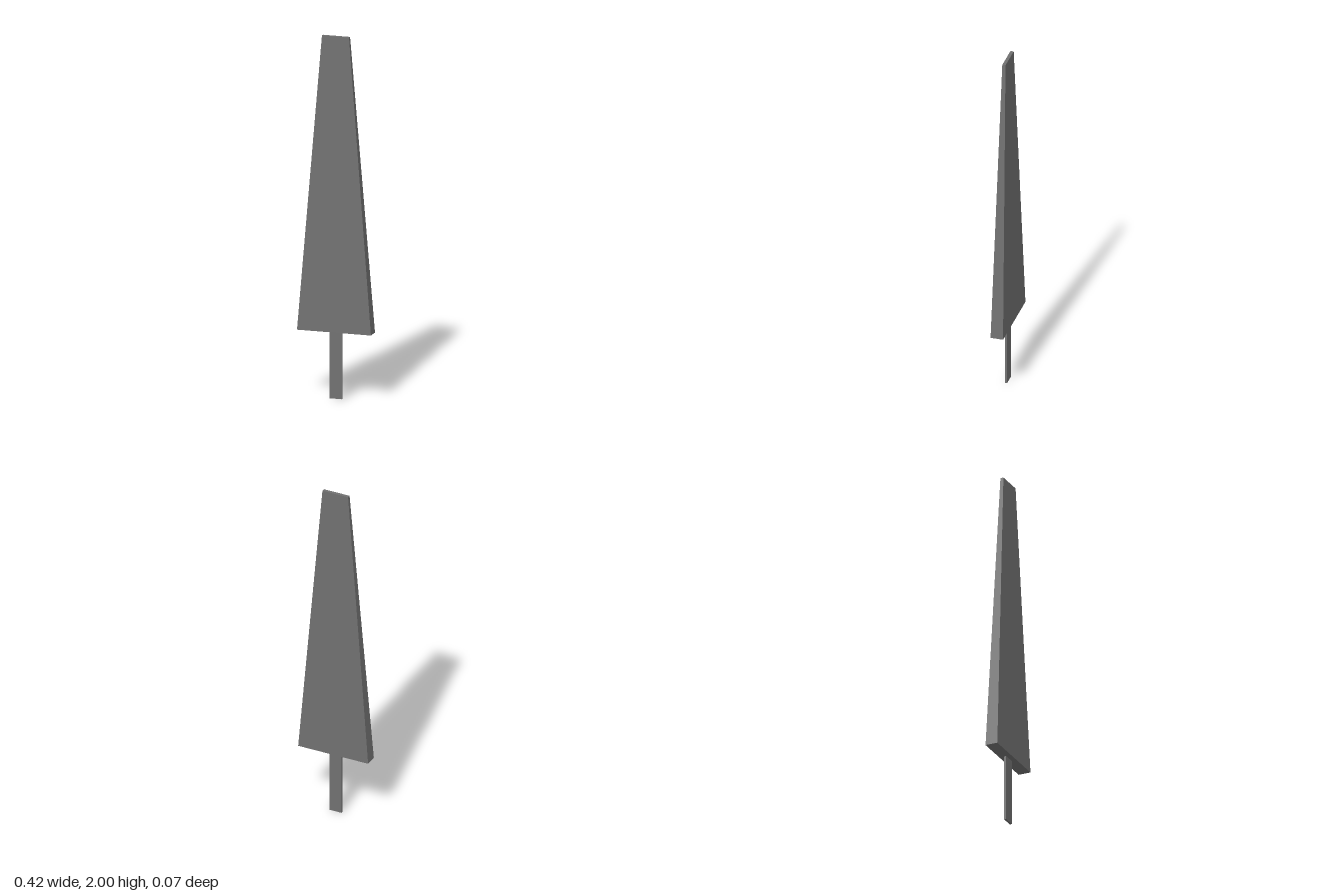
import * as THREE from 'three';

const material = new THREE.MeshStandardMaterial({ color: 0x707070, flatShading: true });

// Box from y0 to y1 whose top is scaled to its own width and depth
function taperedBox(name, y0, y1, [w0, d0], [w1, d1]) {
  const geometry = new THREE.BoxGeometry(w0, y1 - y0, d0);
  geometry.translate(0, (y0 + y1) / 2, 0);
  const p = geometry.attributes.position;
  for (let i = 0; i < p.count; i++) {
    if (p.getY(i) > (y0 + y1) / 2) {
      p.setX(i, Math.sign(p.getX(i)) * w1 / 2);
      p.setZ(i, Math.sign(p.getZ(i)) * d1 / 2);
    }
  }
  geometry.computeVertexNormals();
  const mesh = new THREE.Mesh(geometry, material);
  mesh.name = name;
  return mesh;
}

export function createModel() {
  const group = new THREE.Group();
  group.name = 'taperedBlade';

  // Broad blade, narrowing in width and thickness towards the tip
  group.add(taperedBox('blade', 0.372, 2, [0.417, 0.07], [0.153, 0.018]));

  // Thin flat stem under the blade
  group.add(taperedBox('stem', 0, 0.372, [0.072, 0.012], [0.072, 0.012]));

  return group;
}
